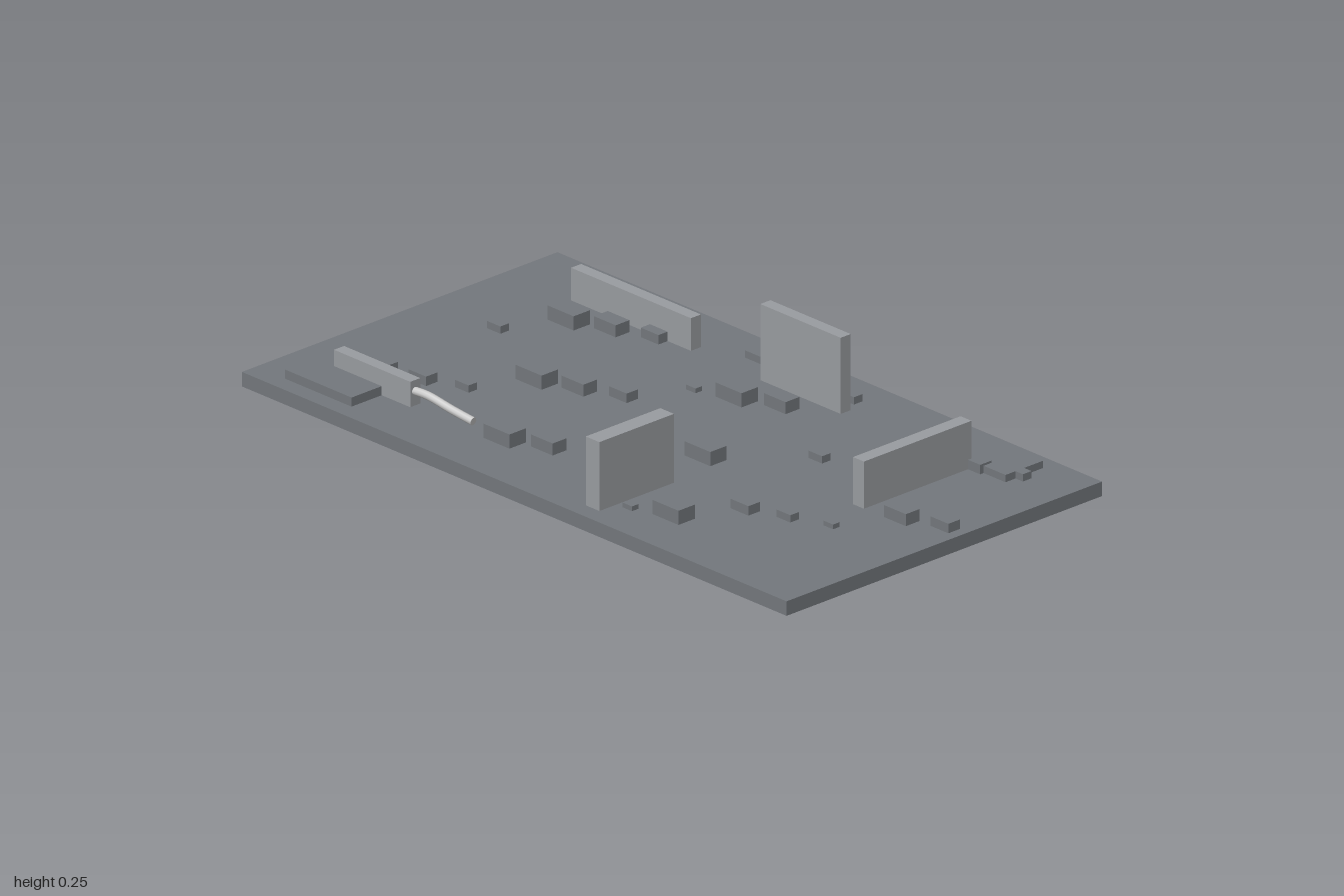
import * as THREE from 'three';

const BOARD_TOP = 0.04;

export function createModel() {
  const model = new THREE.Group();
  model.name = 'circuitBoard';

  const dark = new THREE.MeshStandardMaterial({ color: 0x74787d });
  const light = new THREE.MeshStandardMaterial({ color: 0x9a9da1 });
  const metal = new THREE.MeshStandardMaterial({ color: 0xcccccc });

  // Box given by its extents on the plan and its bottom and top heights
  function addBox(name, material, x0, x1, z0, z1, top, bottom = BOARD_TOP) {
    const mesh = new THREE.Mesh(
      new THREE.BoxGeometry(x1 - x0, top - bottom, z1 - z0), material);
    mesh.position.set((x0 + x1) / 2, (bottom + top) / 2, (z0 + z1) / 2);
    mesh.name = name;
    model.add(mesh);
  }

  addBox('board', dark, -1, 1, -0.55, 0.55, BOARD_TOP, 0);

  // Upright panels: x0, x1, z0, z1, top
  [
    [-0.755, -0.315, -0.4, -0.365, 0.13],
    [-0.06, 0.235, -0.4, -0.365, 0.25],
    [0.67, 0.71, -0.37, 0.005, 0.17],
    [0.21, 0.26, 0.24, 0.5, 0.23],
    [-0.825, -0.545, 0.36, 0.395, 0.11],
  ].forEach((p, i) => addBox(`panel${i + 1}`, light, ...p));

  // Low pads lying on the board
  [
    [-0.19, 0.09, -0.515, -0.435, 0.06],
    [0.64, 0.835, -0.5, -0.37, 0.06],
    [-0.895, -0.65, 0.395, 0.5, 0.065],
  ].forEach((p, i) => addBox(`pad${i + 1}`, dark, ...p));

  // Chips come in five sizes: width, depth, top
  const sizes = [
    [0.035, 0.022, 0.053], [0.05, 0.03, 0.06], [0.065, 0.04, 0.066],
    [0.08, 0.048, 0.073], [0.095, 0.057, 0.079],
  ];
  // Chip centres grouped by size, smallest first: [x, z]
  const chips = [
    [[-0.13, -0.2], [0.087, 0.115], [0.3, 0.43], [0.733, 0.14], [0.517, -0.175]],
    [[0.19, -0.445], [-0.75, -0.105], [-0.535, 0.21], [0.62, 0.185],
      [0.405, -0.13], [0.837, -0.42]],
    [[-0.433, -0.353], [-0.22, -0.04], [-0.647, 0.254], [0.508, 0.227],
      [0.937, -0.063], [0.722, -0.378]],
    [[-0.548, -0.31], [0.1, -0.287], [-0.332, 0.008], [-0.76, 0.295],
      [-0.116, 0.32], [0.823, -0.02]],
    [[-0.66, -0.267], [-0.015, -0.24], [-0.444, 0.05], [0.2, 0.073],
      [-0.23, 0.365], [0.414, 0.387]],
  ];
  chips.forEach((centres, s) => {
    const [w, d, top] = sizes[s];
    centres.forEach(([x, z], i) => addBox(`chip${s + 1}_${i + 1}`, dark,
      x - w / 2, x + w / 2, z - d / 2, z + d / 2, top));
  });

  // Bent wire leaving the front panel
  const path = new THREE.CatmullRomCurve3([
    new THREE.Vector3(-0.55, 0.08, 0.378),
    new THREE.Vector3(-0.5, 0.08, 0.375),
    new THREE.Vector3(-0.42, 0.066, 0.37),
    new THREE.Vector3(-0.345, 0.055, 0.365),
  ]);
  const wire = new THREE.Mesh(new THREE.TubeGeometry(path, 16, 0.011, 10), metal);
  wire.name = 'wire';
  model.add(wire);

  // Flat caps closing the wire ends
  [[0, -1], [1, 1]].forEach(([t, dir]) => {
    const cap = new THREE.Mesh(new THREE.CircleGeometry(0.011, 10), metal);
    const end = path.getPoint(t);
    cap.position.copy(end);
    cap.lookAt(end.clone().addScaledVector(path.getTangent(t), dir));
    cap.name = 'wireCap';
    model.add(cap);
  });

  return model;
}
